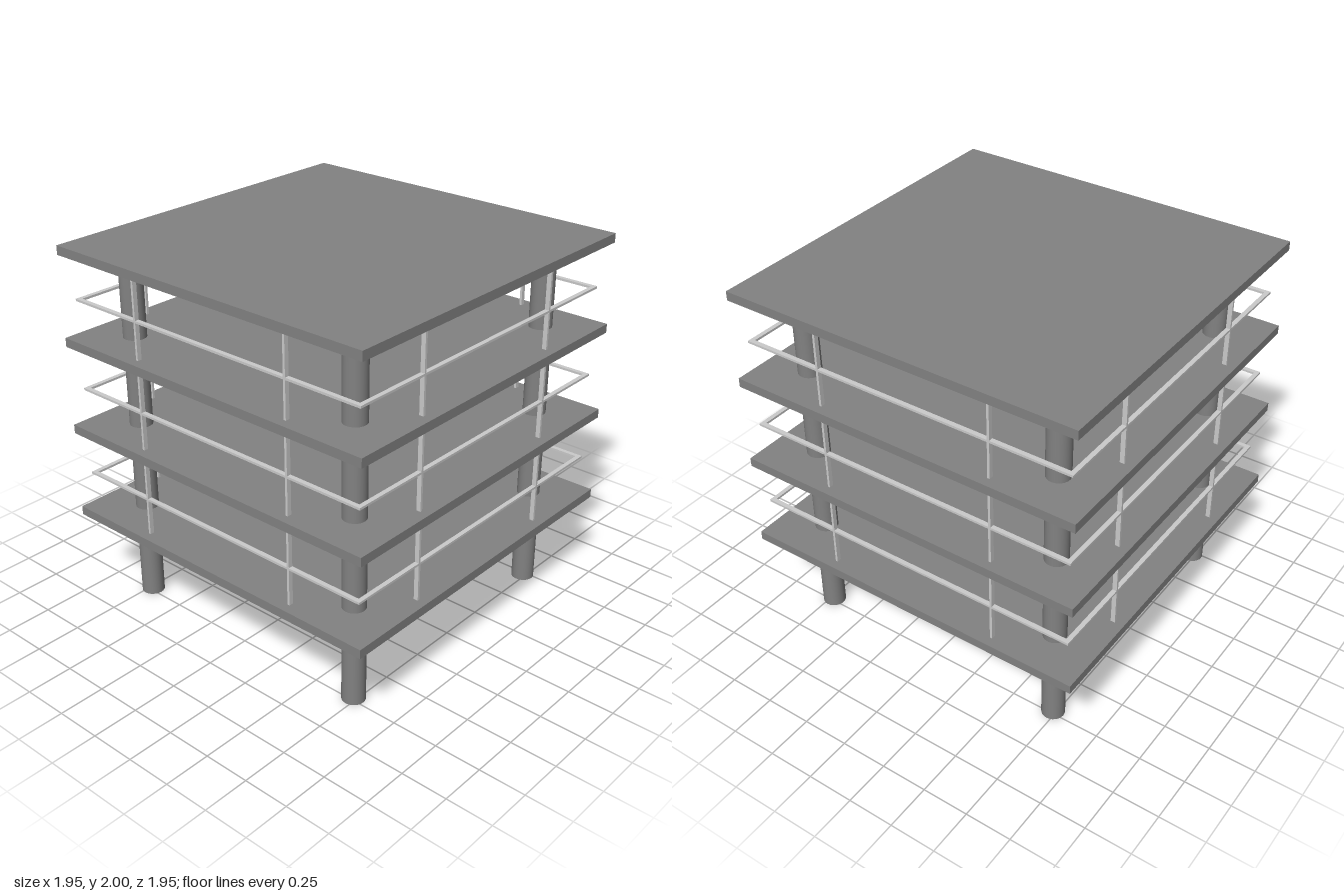
import * as THREE from 'three';

const HALF = 0.976, SLAB = 0.049, STEP = 0.488, TOP = 2;
const COLUMN = 0.73, RAIL = 0.915, POST = 0.49;

export function createModel() {
  const model = new THREE.Group();
  const concrete = new THREE.MeshStandardMaterial({ color: 0x828282 });
  const metal = new THREE.MeshStandardMaterial({ color: 0xdcdcdc });

  const add = (parent, name, geometry, material, x, y, z) => {
    const mesh = new THREE.Mesh(geometry, material);
    mesh.name = name;
    mesh.position.set(x, y, z);
    parent.add(mesh);
  };

  // Floor slabs and roof
  const slab = new THREE.BoxGeometry(HALF * 2, SLAB, HALF * 2);
  for (let i = 0; i < 4; i++) {
    add(model, i === 3 ? 'roofSlab' : 'floorSlab', slab, concrete, 0, TOP - SLAB / 2 - (3 - i) * STEP, 0);
  }

  // Four round columns from the ground to the underside of the roof
  const height = TOP - SLAB;
  const column = new THREE.CylinderGeometry(0.061, 0.061, height, 24);
  for (const x of [-COLUMN, COLUMN]) {
    for (const z of [-COLUMN, COLUMN]) add(model, 'column', column, concrete, x, height / 2, z);
  }

  // Railing around each open storey: one rail and two posts per side
  const clear = STEP - SLAB;
  const rail = new THREE.BoxGeometry(RAIL * 2 + 0.024, 0.012, 0.024);
  const post = new THREE.BoxGeometry(0.013, clear, 0.024);
  for (let storey = 0; storey < 3; storey++) {
    const y = TOP - SLAB - clear / 2 - storey * STEP;
    for (let s = 0; s < 4; s++) {
      const side = new THREE.Group();
      side.name = 'railingSide';
      side.position.y = y;
      side.rotation.y = s * Math.PI / 2;
      add(side, 'rail', rail, metal, 0, -0.017, RAIL);
      for (const x of [-POST, POST]) add(side, 'railingPost', post, metal, x, 0, RAIL);
      model.add(side);
    }
  }
  return model;
}
